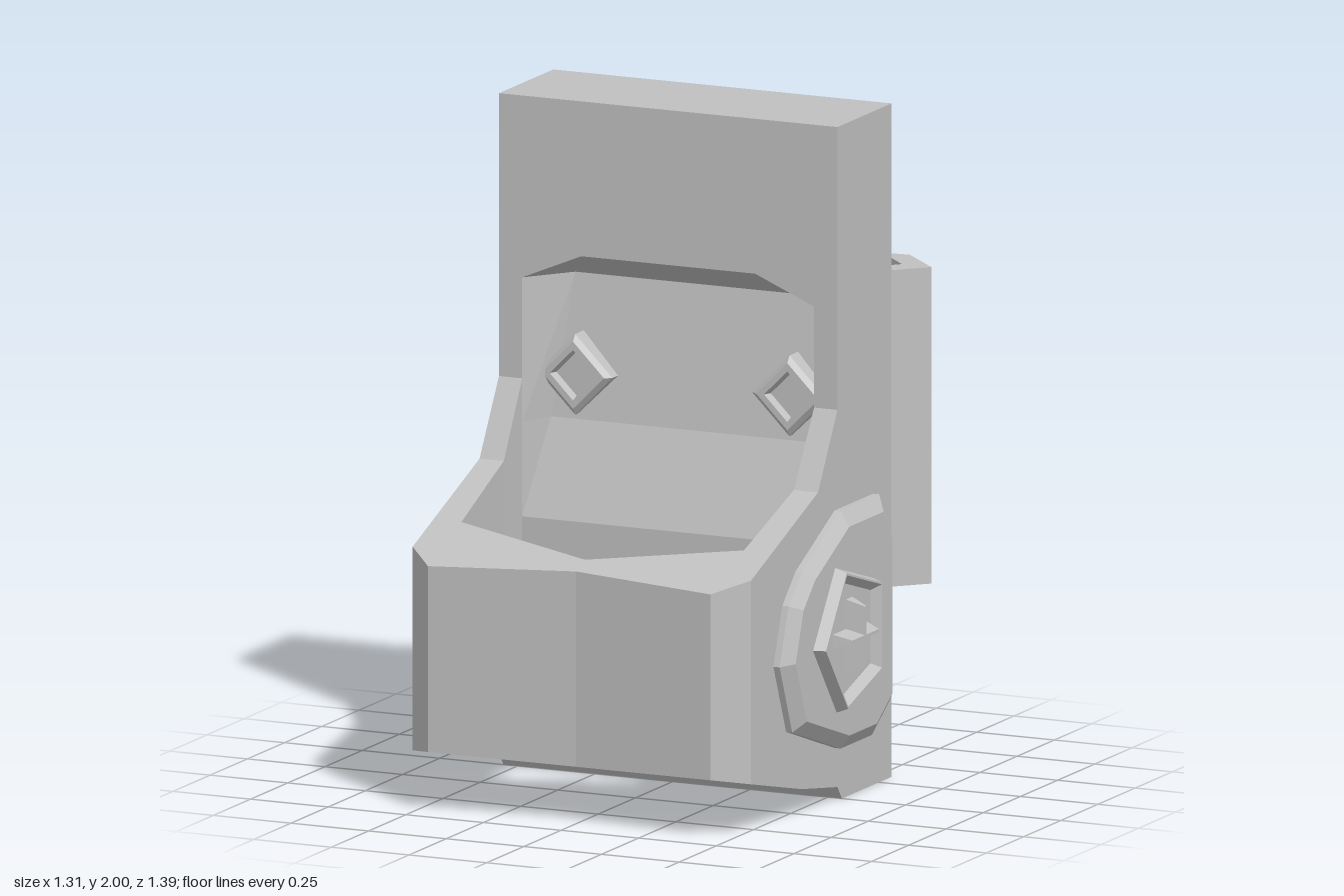
import * as THREE from 'three';

const grey = new THREE.MeshStandardMaterial({ color: 0xc0c0c0, side: THREE.DoubleSide });
grey.name = 'plain grey';

function mesh(name, geometry, parent) {
  const m = new THREE.Mesh(geometry, grey);
  m.name = name;
  parent.add(m);
  return m;
}

// Flat-faced skin through matching loops of [x, y, z] points
function loft(loops, closed = true) {
  const p = [];
  const tri = (a, b, c) => p.push(...a, ...b, ...c);
  const n = loops[0].length;
  for (let k = 0; k + 1 < loops.length; k++) {
    const A = loops[k], B = loops[k + 1];
    for (let i = 0; i < (closed ? n : n - 1); i++) {
      const j = (i + 1) % n;
      tri(A[i], A[j], B[j]);
      tri(A[i], B[j], B[i]);
    }
  }
  if (closed) {
    const S = loops[0], E = loops[loops.length - 1];
    for (let i = 1; i + 1 < n; i++) {
      tri(S[0], S[i + 1], S[i]);
      tri(E[0], E[i], E[i + 1]);
    }
  }
  const g = new THREE.BufferGeometry();
  g.setAttribute('position', new THREE.Float32BufferAttribute(p, 3));
  g.computeVertexNormals();
  return g;
}

const shapeOf = (pts) => new THREE.Shape(pts.map(([x, y]) => new THREE.Vector2(x, y)));
const extrude = (shape, depth) => new THREE.ExtrudeGeometry(shape, { depth, bevelEnabled: false });

function box(name, x0, x1, y0, y1, z0, z1, parent) {
  const g = new THREE.BoxGeometry(x1 - x0, y1 - y0, z1 - z0);
  g.translate((x0 + x1) / 2, (y0 + y1) / 2, (z0 + z1) / 2);
  return mesh(name, g, parent);
}

// Raised detail on a side wall: clockwise [z, y] outline, steps of [distance from centre, scale]
function sideRelief(name, side, outline, [cz, cy], steps, parent) {
  const pts = side > 0 ? [...outline].reverse() : outline;
  const loops = steps.map(([d, s]) =>
    pts.map(([z, y]) => [side * d, cy + (y - cy) * s, cz + (z - cz) * s]));
  return mesh(name, loft(loops), parent);
}

function buildSlab(parent) {
  const slab = new THREE.Group();
  slab.name = 'backSlab';
  parent.add(slab);
  box('slabBack', -0.545, 0.545, 0, 2, -0.335, -0.15, slab);

  // Front frame with the recess opening
  const frame = shapeOf([[-0.545, 0.04], [0.545, 0.04], [0.545, 2], [-0.545, 2]]);
  frame.holes.push(new THREE.Path([[-0.47, 0.75], [-0.47, 1.46], [-0.28, 1.54],
    [0.28, 1.54], [0.47, 1.46], [0.47, 0.75]].map(([x, y]) => new THREE.Vector2(x, y))));
  mesh('slabFront', extrude(frame, 0.18).translate(0, 0, -0.15), slab);

  // Chamfered lower lip
  const lip = [[-0.15, 0], [-0.15, 0.04], [0.03, 0.04], [0, 0]];
  mesh('slabLip', loft([-0.545, 0.545].map((x) => lip.map(([z, y]) => [x, y, z]))), slab);

  // Sloping recess: rows of [front x, front y, back x, back y, back z]
  const rows = [[0.47, 0.75, 0.455, 0.75, 0.03], [0.47, 1.03, 0.43, 1.03, -0.08],
    [0.47, 1.46, 0.385, 1.45, -0.15], [0.28, 1.54, 0.28, 1.54, 0.03]];
  mesh('recess', loft(rows.map(([fx, fy, bx, by, bz]) =>
    [[-fx, fy, 0.03], [-bx, by, bz], [bx, by, bz], [fx, fy, 0.03]]), false), slab);
}

function buildHoop(parent) {
  // Stations: outer x, z; inner x, z; top and bottom heights follow z
  const half = [[0.545, 0.03, 0.47, 0.03], [0.545, 0.16, 0.467, 0.16], [0.545, 0.27, 0.463, 0.27],
    [0.545, 0.61, 0.455, 0.47], [0.455, 0.695, 0.455, 0.47]];
  const top = (z) => z < 0.16 ? 1.16 - (z - 0.03) * 1.69 : 0.94 - (z - 0.16) * 0.389;
  const bottom = (z) => z < 0.27 ? 0.04 + (z - 0.03) * 0.167 : 0.08 + (z - 0.27) * 0.235;
  const mirrored = half.map(([a, b, c, d]) => [-a, b, -c, d]).reverse();
  const stations = [...half, [0, 0.65, 0, 0.59], ...mirrored];
  mesh('frontHoop', loft(stations.map(([ox, oz, ix, iz]) => [
    [ox, top(oz), oz], [ix, top(iz), iz], [ix, bottom(iz), iz], [ox, bottom(oz), oz]])), parent);
}

function buildBadge(side, parent) {
  const badge = new THREE.Group();
  badge.name = side > 0 ? 'leftBadge' : 'rightBadge';
  parent.add(badge);
  const plate = [[0.46, 0.48], [0.4, 0.65], [0.31, 0.735], [0.05, 0.865], [-0.21, 0.865],
    [-0.28, 0.76], [-0.28, 0.24], [-0.16, 0.16], [0.05, 0.16], [0.375, 0.27]];
  sideRelief('badgePlate', side, plate, [0.08, 0.51], [[0.54, 1], [0.565, 1], [0.595, 0.88]], badge);
  const pentagon = [[0.3, 0.5], [0.15, 0.72], [-0.11, 0.64], [-0.11, 0.365], [0.14, 0.285]];
  sideRelief('badgePentagon', side, pentagon, [0.07, 0.5],
    [[0.59, 1], [0.63, 0.93], [0.63, 0.9], [0.602, 0.79]], badge);
  // Ridged bars: a cross on the left, a single upright bar on the right
  const bar = (w, h) => [[0.07 + w, 0.505 - h], [0.07 + w, 0.505 + h],
    [0.07 - w, 0.505 + h], [0.07 - w, 0.505 - h]];
  const ridge = (name, w, h) => {
    const base = bar(w, h).map(([z, y]) => [side * 0.6, y, z]);
    const crest = bar(Math.max(w - 0.02, 0.005), Math.max(h - 0.02, 0.005)).map(([z, y]) => [side * 0.655, y, z]);
    if (side > 0) { base.reverse(); crest.reverse(); }
    mesh(name, loft([base, crest]), badge);
  };
  ridge('uprightBar', 0.022, 0.11);
  if (side > 0) ridge('crossBar', 0.11, 0.022);
}

function buildBracket(parent) {
  const bracket = new THREE.Group();
  bracket.name = 'rearBracket';
  parent.add(bracket);
  // Plan of one half as x, distance behind the centre
  const half = [[0.42, 0.355], [0.42, 0.46], [0.455, 0.46], [0.56, 0.57], [0.43, 0.697],
    [0.345, 0.69], [0.465, 0.57], [0.34, 0.435]];
  const plan = shapeOf([...half, ...half.map(([x, y]) => [-x, y]).reverse()]);
  mesh('bracketChannel', extrude(plan, 0.94).rotateX(-Math.PI / 2).translate(0, 0.53, 0), bracket);
  for (const s of [-1, 1]) {
    const x = s * 0.4375, px = s * 0.28;
    box('bracketStop', x - 0.0175, x + 0.0175, 0.53, 0.75, -0.46, -0.355, bracket);
    box('bracketPeg', px - 0.05, px + 0.05, 0.59, 0.7, -0.36, -0.33, bracket);
  }
}

export function createModel() {
  const model = new THREE.Group();
  model.name = 'holder';
  buildSlab(model);
  buildHoop(model);
  buildBracket(model);
  for (const side of [-1, 1]) {
    buildBadge(side, model);
    // Framed diamond stud inside the recess
    const loops = [[0.12, -0.16], [0.12, -0.065], [0.1, -0.05], [0.075, -0.05], [0.065, -0.075]].map(([r, z]) =>
      [[r, 0], [0, r], [-r, 0], [0, -r]].map(([x, y]) => [side * 0.345 + x, 1.165 + y, z]));
    mesh('diamondStud', loft(loops), model);
  }
  // Shallow diamond on the upper right side
  sideRelief('sideDiamond', -1, [[0, 1.635], [-0.155, 1.79], [-0.31, 1.635], [-0.155, 1.48]],
    [-0.155, 1.635], [[0.54, 1], [0.556, 0.96], [0.556, 0.75], [0.548, 0.65]], model);
  return model;
}
